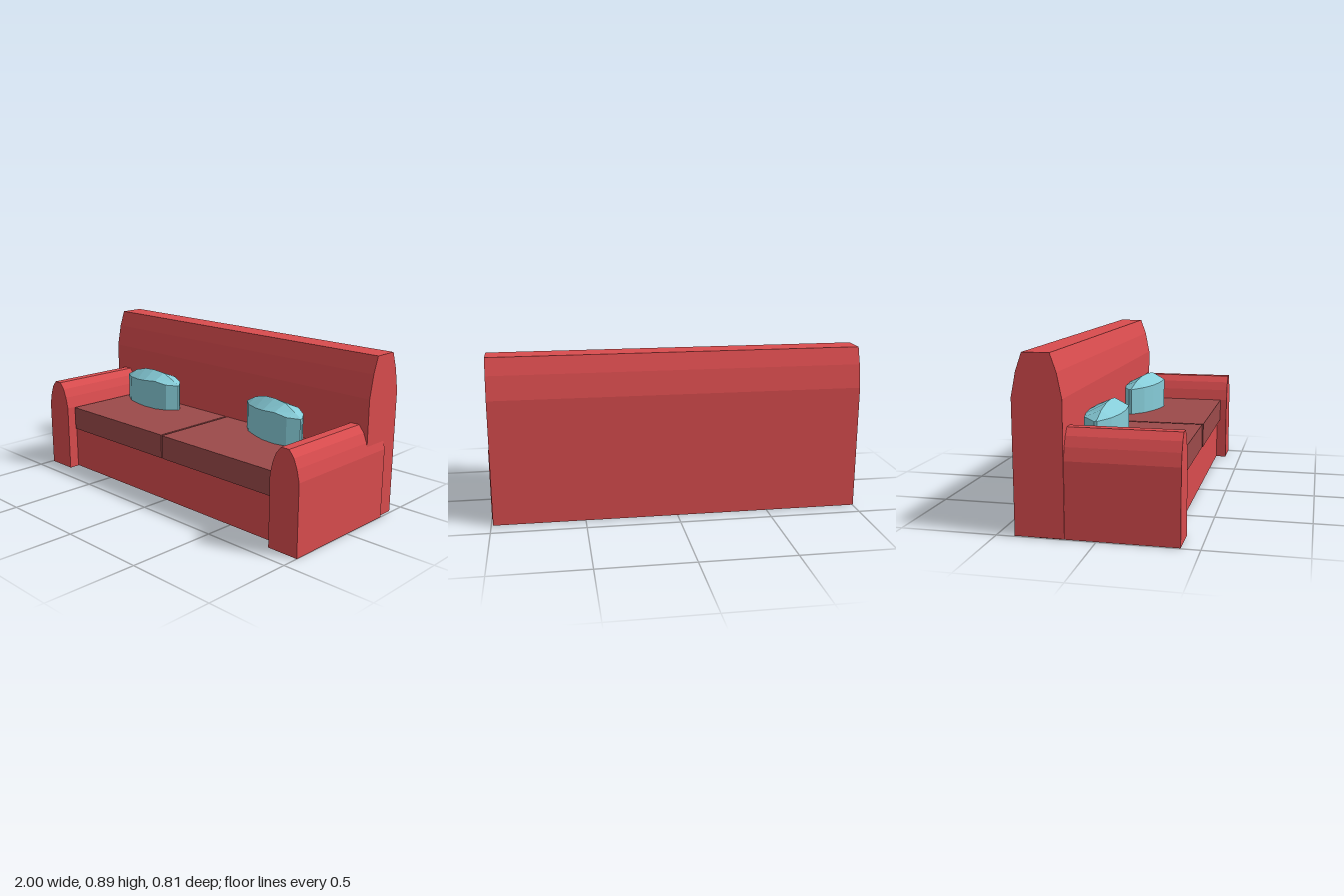
import * as THREE from 'three';

const material = (color) => new THREE.MeshStandardMaterial({ color, flatShading: true });

export function createModel() {
  const sofa = new THREE.Group();
  sofa.name = 'sofa';
  const red = material(0xd94c4e);
  const darkRed = material(0x9c4a4a);
  const blue = material(0x86ccd8);

  const add = (name, geometry, mat) => {
    const mesh = new THREE.Mesh(geometry, mat);
    mesh.name = name;
    sofa.add(mesh);
    return mesh;
  };
  const extrude = (points, depth) => new THREE.ExtrudeGeometry(
    new THREE.Shape(points.map(([x, y]) => new THREE.Vector2(x, y))),
    { depth, bevelEnabled: false });
  const box = (name, x0, x1, y0, y1, z0, z1, mat) => add(name,
    new THREE.BoxGeometry(x1 - x0, y1 - y0, z1 - z0), mat)
    .position.set((x0 + x1) / 2, (y0 + y1) / 2, (z0 + z1) / 2);

  // Backrest: tapered side profile (depth, height) run along the width
  const back = extrude([
    [0.155, 0.003], [0.405, 0.003], [0.405, 0.68], [0.38, 0.805],
    [0.348, 0.895], [0.212, 0.895], [0.18, 0.805], [0.155, 0.68],
  ], 1.99);
  back.rotateY(Math.PI / 2);
  add('backrest', back, red).position.x = -1;

  // Arms: rounded front profile run along the depth
  const armProfile = [
    [-0.09, 0], [0.09, 0], [0.09, 0.385], [0.075, 0.45], [0.055, 0.5],
    [0.025, 0.537], [-0.025, 0.537], [-0.055, 0.5], [-0.075, 0.45], [-0.09, 0.385],
  ];
  for (const [name, x] of [['rightArm', -0.904], ['leftArm', 0.91]]) {
    add(name, extrude(armProfile, 0.71), red).position.set(x, 0, -0.305);
  }

  // Base and the two seat cushions
  box('base', -0.85, 0.85, 0.003, 0.25, -0.3, 0.345, red);
  box('rightSeatCushion', -0.803, -0.01, 0.25, 0.385, -0.2, 0.36, darkRed);
  box('leftSeatCushion', 0.003, 0.825, 0.252, 0.385, -0.2, 0.365, darkRed);

  // Pillows: upright lens lofted through cross-sections along x
  // station: x, front z, crease height, ridge z, ridge height, back z
  const stations = [
    [-0.23, 0.004, 0.535, 0, 0.537, -0.012],
    [-0.15, 0.055, 0.54, 0.004, 0.577, -0.085],
    [-0.06, 0.078, 0.543, 0.008, 0.6, -0.1],
    [0.02, 0.09, 0.55, 0.01, 0.605, -0.1],
    [0.11, 0.085, 0.558, 0.008, 0.597, -0.085],
    [0.18, 0.058, 0.542, 0.003, 0.563, -0.06],
    [0.23, 0.004, 0.535, 0, 0.537, -0.008],
  ];
  const bottom = 0.34;
  const pillow = () => {
    const positions = [];
    const index = [];
    stations.forEach(([x, zf, yc, zr, yr, zb], i) => {
      positions.push(x, bottom, zf, x, yc, zf, x, yr, zr, x, yc, zb, x, bottom, zb);
      if (i === stations.length - 1) return;
      for (let j = 0; j < 5; j++) {
        const a = i * 5 + j;
        const d = i * 5 + (j + 1) % 5;
        index.push(a, a + 5, d + 5, a, d + 5, d);
      }
    });
    // End caps
    const e = (stations.length - 1) * 5;
    for (let j = 1; j < 4; j++) {
      index.push(0, j, j + 1, e, e + j + 1, e + j);
    }
    const geometry = new THREE.BufferGeometry();
    geometry.setAttribute('position', new THREE.Float32BufferAttribute(positions, 3));
    geometry.setIndex(index);
    const flat = geometry.toNonIndexed();
    flat.computeVertexNormals();
    return flat;
  };
  add('rightPillow', pillow(), blue).position.set(-0.54, 0, -0.055);
  const leftPillow = add('leftPillow', pillow(), blue);
  leftPillow.position.set(0.436, 0, -0.065);
  leftPillow.rotation.y = -0.18;

  return sofa;
}
